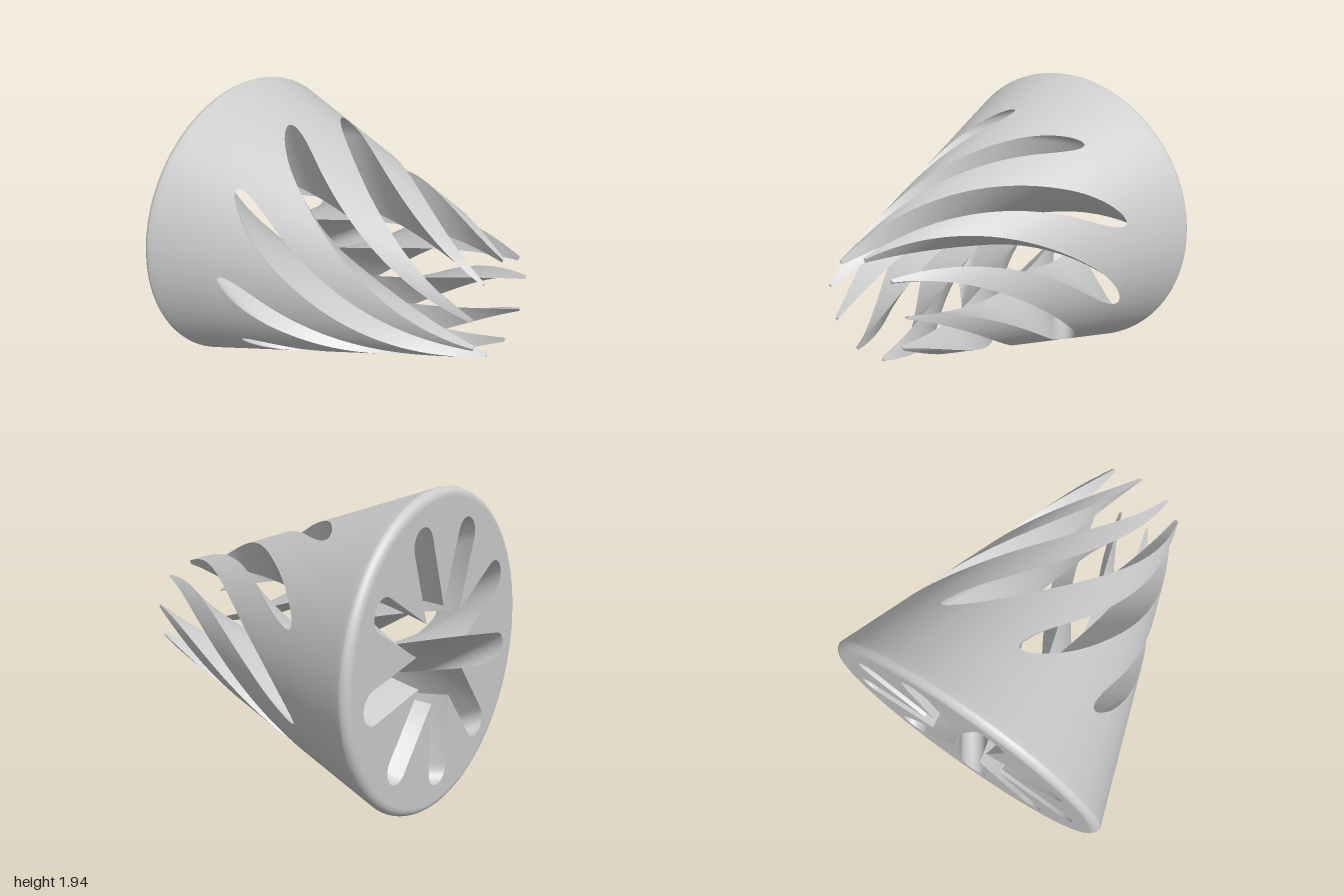
import * as THREE from 'three';
import { mergeGeometries, mergeVertices } from 'three/addons/utils/BufferGeometryUtils.js';

const COUNT = 9, PITCH = (Math.PI * 2) / COUNT, HALF = PITCH / 2;
const AXIS_Y = 0.97;
const SLOT_HALF = 0.1;                      // half width of a slot
const SLOT_END = 0.82;                      // outer reach of a slot
const R_TIP = SLOT_HALF / Math.sin(HALF);   // where neighbouring slots meet
const FILLET = 0.05;
const DEG = Math.PI / 180;

// Straight cone radius, and the z where the slots break through it
const cone = (z) => 0.32 + (1 - z) * 0.3333;
const Z_BREAK = 1 - (SLOT_END - 0.32) / 0.3333;

// Cone radius with a rounded rear rim
function radius(z) {
  const d = Math.max(0, -1 + FILLET - z) / FILLET;
  return cone(Math.max(z, -1 + FILLET)) - FILLET * (1 - Math.sqrt(Math.max(0, 1 - d * d)));
}

// Angle of the first slot's centre line along the axis
const twist = (z) => (30 + 60 * (z + 1) - 2.5 * Math.sin((Math.PI * (z + 1)) / 2)) * DEG;

// Half angle of a slot at radius r: parallel sides, then a round end
function slotAngle(r) {
  if (r >= SLOT_END - 1e-9) return 0;
  const c = SLOT_END - SLOT_HALF;
  if (r * r < c * c + SLOT_HALF * SLOT_HALF) return Math.asin(Math.min(1, SLOT_HALF / r));
  return Math.acos(Math.min(1, (r * r + c * c - SLOT_HALF * SLOT_HALF) / (2 * r * c)));
}
const solidAngle = (r) => Math.max(0, HALF - slotAngle(r));

// Rows along z: rim rounding, plain base, then fingers (dense near the break)
const rows = [];
for (let i = 0; i < 8; i++) rows.push(-1 + FILLET * (1 - Math.cos((i / 8) * Math.PI / 2)));
for (let i = 0; i < 12; i++) rows.push(-1 + FILLET + (Z_BREAK + 1 - FILLET) * (i / 12));
for (let i = 0; i <= 44; i++) rows.push(Z_BREAK + (1 - Z_BREAK) * Math.pow(i / 44, 1.7));

// Grid surface from polar points [r, angle, z]; it faces along du x dv
function grid(f, nu, nv) {
  const pos = [], idx = [];
  for (let j = 0; j <= nv; j++) {
    for (let i = 0; i <= nu; i++) {
      const [r, a, z] = f(i / nu, j);
      pos.push(r * Math.cos(a), AXIS_Y + r * Math.sin(a), z);
      if (i < nu && j < nv) {
        const p = j * (nu + 1) + i, q = p + nu + 1;
        idx.push(p, p + 1, q + 1, p, q + 1, q);
      }
    }
  }
  const g = new THREE.BufferGeometry();
  g.setAttribute('position', new THREE.Float32BufferAttribute(pos, 3));
  g.setIndex(idx);
  return g;
}

export function createModel() {
  const group = new THREE.Group();
  const material = new THREE.MeshStandardMaterial({ color: 0xcccccc, side: THREE.DoubleSide });
  const add = (name, parts) => {
    const g = mergeVertices(mergeGeometries(parts), 1e-5);
    g.computeVertexNormals();
    const mesh = new THREE.Mesh(g, material);
    mesh.name = name;
    group.add(mesh);
  };
  const nz = rows.length - 1;
  const skin = [], back = [], tips = [];

  for (let k = 0; k < COUNT; k++) {
    const slot = k * PITCH, mid = slot + HALF;

    // Outer skin of the base and one twisted finger
    skin.push(grid((u, j) => {
      const z = rows[j], r = radius(z);
      return [r, twist(z) + mid + (2 * u - 1) * solidAngle(r), z];
    }, 12, nz));

    // Both walls of one slot, joined at its round end
    const wall = (side) => grid((u, j) => {
      const z = rows[j], t = side > 0 ? u : 1 - u;
      const top = Math.min(radius(z), SLOT_END);
      const r = R_TIP + (top - R_TIP) * (1 - (1 - t) * (1 - t));
      return [r, twist(z) + slot + side * (HALF - solidAngle(r)), z];
    }, 20, nz);
    add('slotWall', [wall(1), wall(-1)]);

    // Flat rear face: wedge between slots, then the rim ring
    const rim = radius(-1);
    back.push(grid((u, j) => {
      const t = 1 - j / 20, r = R_TIP + (SLOT_END - R_TIP) * (1 - t * t);
      return [r, twist(-1) + mid + (2 * u - 1) * solidAngle(r), -1];
    }, 12, 20));
    back.push(grid((u, j) => [SLOT_END + (rim - SLOT_END) * j, twist(-1) + mid + (2 * u - 1) * HALF, -1], 12, 1));

    // Small flat end of the finger
    tips.push(grid((u, j) => {
      const r = R_TIP + (radius(1) - R_TIP) * u;
      return [r, twist(1) + mid + (j - 1) * solidAngle(r), 1];
    }, 3, 2));
  }

  add('coneShell', skin);
  add('rearFace', back);
  add('fingerTips', tips);
  return group;
}
